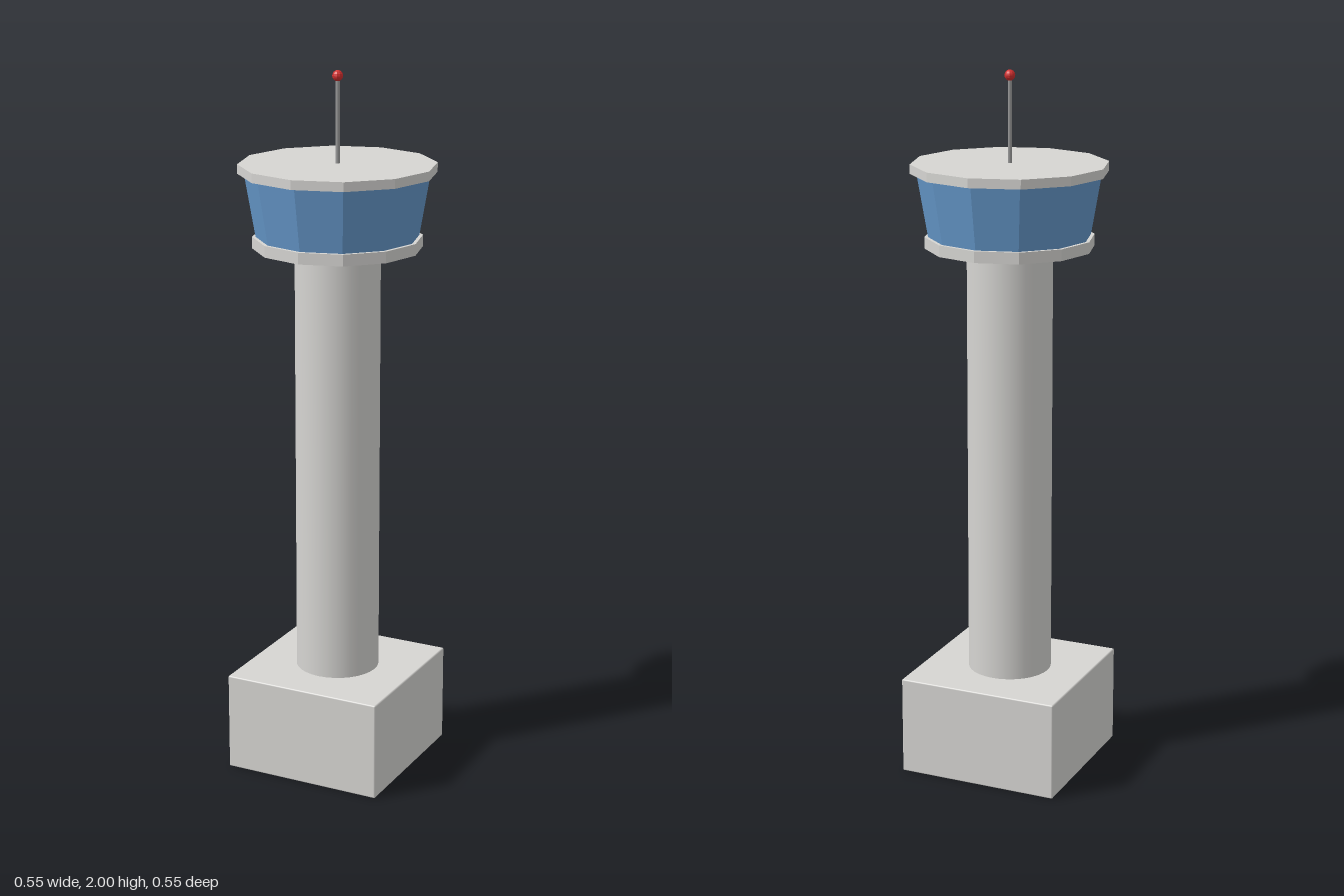
import * as THREE from 'three';
import { RoundedBoxGeometry } from 'three/addons/geometries/RoundedBoxGeometry.js';

export function createModel() {
  const model = new THREE.Group();
  model.name = 'controlTower';

  const material = (name, color, flatShading = false) => {
    const m = new THREE.MeshStandardMaterial({ color, flatShading });
    m.name = name;
    return m;
  };
  const concrete = material('concrete', 0xd6d5d2);
  const glass = material('blue glass', 0x6699cc, true);
  const metal = material('antenna grey', 0x9a9a9a);
  const red = material('beacon red', 0xd32f2f, true);

  const add = (name, geometry, mat, y = 0) => {
    const mesh = new THREE.Mesh(geometry, mat);
    mesh.name = name;
    mesh.position.y = y;
    model.add(mesh);
    return mesh;
  };

  // Upright drum between two heights; faceted drums get hard edges
  const drum = (name, rTop, rBottom, y0, y1, sides, mat, faceted) => {
    let g = new THREE.CylinderGeometry(rTop, rBottom, y1 - y0, sides);
    if (faceted) {
      g = g.toNonIndexed();
      g.computeVertexNormals();
    }
    return add(name, g, mat, (y0 + y1) / 2);
  };

  // Base building with slightly softened edges
  add('baseBuilding', new RoundedBoxGeometry(0.468, 0.283, 0.468, 1, 0.004), concrete, 0.1415);

  // Round shaft
  drum('shaft', 0.119, 0.119, 0.27, 1.52, 32, concrete, false);

  // Twelve-sided cab: deck, flared windows, roof
  drum('cabDeck', 0.235, 0.235, 1.515, 1.547, 12, concrete, true);
  drum('cabWindows', 0.255, 0.225, 1.547, 1.722, 12, glass, true);
  drum('cabRoof', 0.273, 0.273, 1.722, 1.748, 12, concrete, true);

  // Antenna with beacon
  drum('antenna', 0.006, 0.006, 1.748, 1.985, 8, metal, false);
  add('beacon', new THREE.SphereGeometry(0.015, 10, 8), red, 1.985);

  return model;
}
